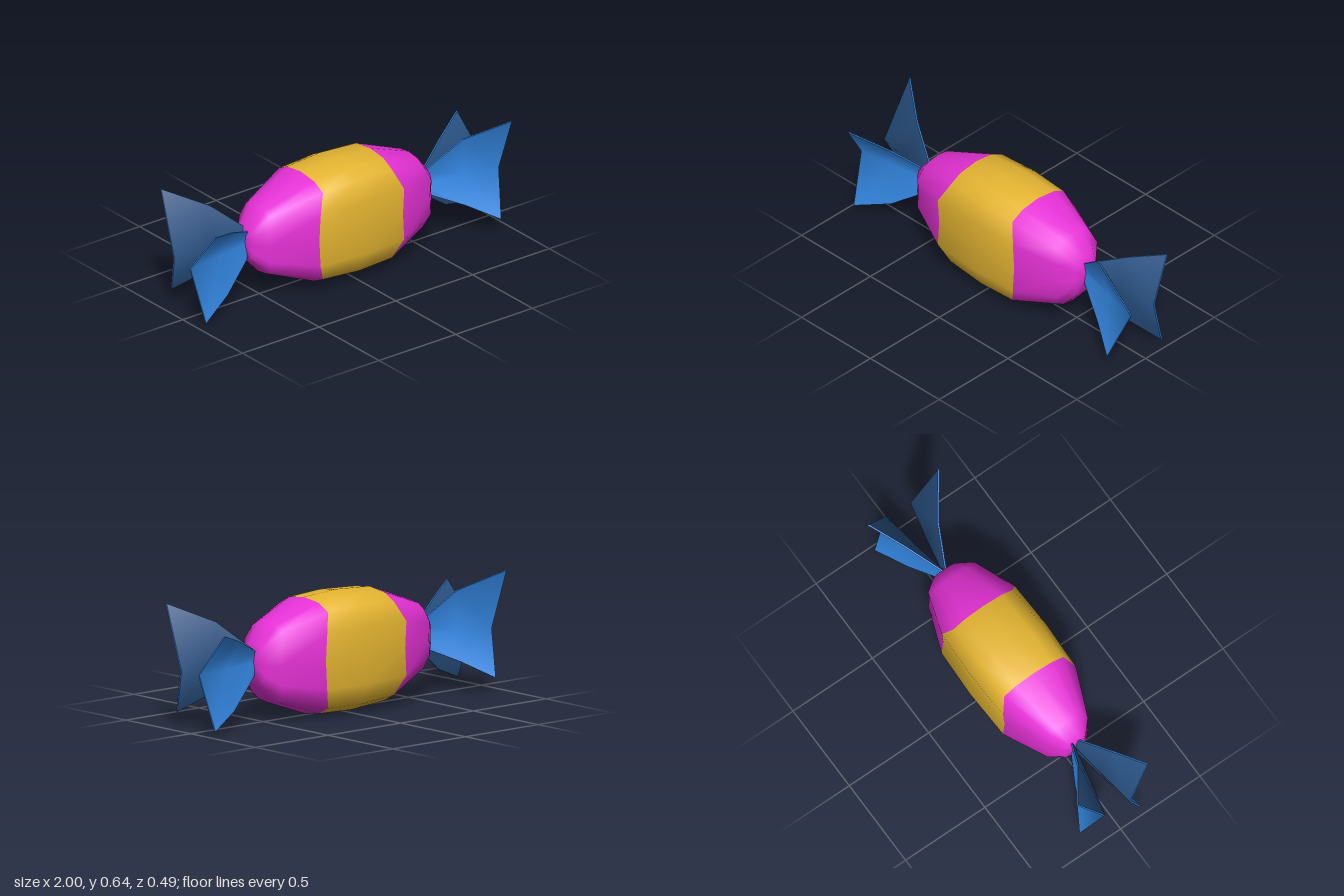
import * as THREE from 'three';

function paint(name, color) {
  const m = new THREE.MeshStandardMaterial({ color });
  m.name = name;
  return m;
}
const magenta = paint('magenta wrapper', 0xe832d8);
const gold = paint('gold band', 0xe6b632);
const blue = paint('blue twist', 0x3589e6);
const navy = paint('navy twist lining', 0x2a5385);

// Quarter of the rounded cross-section as fractions [z, y], top to side
const QUARTER = [[0, 1], [0.5, 0.95], [0.81, 0.825], [1, 0.476], [0.958, 0]];

function sectionLoop() {
  const lower = QUARTER.slice(0, 4).reverse().map(([z, y]) => [z, -y]);
  const half = [...QUARTER, ...lower];
  const back = half.slice(1, -1).reverse().map(([z, y]) => [-z, y]);
  return [...half, ...back];
}

function makeGeometry(pos, index) {
  const g = new THREE.BufferGeometry();
  g.setAttribute('position', new THREE.Float32BufferAttribute(pos, 3));
  g.setIndex(index);
  g.computeVertexNormals();
  return g;
}

// Lofted candy body; the two middle spans form the gold band
function bodyGeometry() {
  // x, centre y, half height, half depth, x shift of the flat sides
  const rings = [
    [-0.595, 0.325, 0.088, 0.07, 0.005],
    [-0.51, 0.325, 0.19, 0.128, -0.02],
    [-0.23, 0.321, 0.299, 0.23, -0.05],
    [0, 0.318, 0.315, 0.239, 0],
    [0.22, 0.315, 0.305, 0.23, 0.045],
    [0.475, 0.313, 0.212, 0.145, 0.03],
    [0.56, 0.312, 0.11, 0.08, 0],
  ];
  const loop = sectionLoop(), n = loop.length;
  const pos = [], index = [];
  for (const [x, cy, hy, hz, shift] of rings)
    for (const [z, y] of loop) {
      const side = Math.abs(z) > 0.9 ? 1 : 0;
      pos.push(x + shift * side, cy + y * hy, z * hz);
    }
  for (let i = 0; i < rings.length - 1; i++)
    for (let j = 0; j < n; j++) {
      const a = i * n + j, c = i * n + (j + 1) % n;
      index.push(a, c, a + n, c, c + n, a + n);
    }
  // End caps
  const left = pos.length / 3, right = left + 1, last = (rings.length - 1) * n;
  pos.push(-0.603, 0.325, 0, 0.575, 0.312, 0);
  for (let j = 0; j < n; j++) {
    const k = (j + 1) % n;
    index.push(left, k, j, right, last + j, last + k);
  }
  const g = makeGeometry(pos, index), span = n * 6;
  g.addGroup(0, span * 2, 0);
  g.addGroup(span * 2, span * 2, 1);
  g.addGroup(span * 4, index.length - span * 4, 0);
  return g;
}

// Thin folded sheet from a 3x3 grid: base, middle and outer columns, each top to bottom.
// outer is the z direction of the blue face; the opposite face is the navy lining.
function fanGeometry(grid, outer) {
  const T = 0.0048, pos = [], index = [];
  const add = ([x, y, z], side) => {
    pos.push(x, y, z + side * T);
    return pos.length / 3 - 1;
  };
  for (const side of [-outer, outer]) {
    const id = grid.map(col => col.map(p => add(p, side)));
    for (let s = 0; s < 2; s++)
      for (let r = 0; r < 2; r++) {
        const a = id[s][r], b = id[s][r + 1], c = id[s + 1][r + 1], d = id[s + 1][r];
        if (side > 0) index.push(a, b, c, a, c, d);
        else index.push(a, c, b, a, d, c);
      }
  }
  const lining = index.length / 2;
  // Rim
  const edge = [[0, 0], [0, 1], [0, 2], [1, 2], [2, 2], [2, 1], [2, 0], [1, 0]].map(([s, r]) => grid[s][r]);
  edge.forEach((p, i) => {
    const q = edge[(i + 1) % edge.length];
    const a = add(p, -1), b = add(q, -1), c = add(q, 1), d = add(p, 1);
    index.push(a, b, c, a, c, d);
  });
  const g = makeGeometry(pos, index);
  g.addGroup(0, lining, 1);
  g.addGroup(lining, index.length - lining, 0);
  return g;
}

export function createModel() {
  const model = new THREE.Group();
  model.name = 'wrappedCandy';

  const body = new THREE.Mesh(bodyGeometry(), [magenta, gold]);
  body.name = 'candyBody';
  model.add(body);

  const tall = fanGeometry([
    [[0.55, 0.375, 0.001], [0.55, 0.32, -0.003], [0.55, 0.27, -0.002]],
    [[0.75, 0.545, 0.092], [0.78, 0.32, 0.042], [0.76, 0.172, 0.105]],
    [[0.955, 0.645, 0.241], [0.987, 0.317, 0.09], [0.92, 0.08, 0.197]],
  ], 1);
  const low = fanGeometry([
    [[0.55, 0.375, -0.001], [0.55, 0.32, 0.001], [0.55, 0.265, 0.002]],
    [[0.76, 0.47, -0.108], [0.78, 0.32, -0.032], [0.77, 0.105, -0.077]],
    [[0.95, 0.535, -0.208], [1.0, 0.317, -0.062], [0.967, 0.03, -0.15]],
  ], -1);

  // Twisted wrapper ends, the second turned half way round
  ['leftTwist', 'rightTwist'].forEach((name, i) => {
    const twist = new THREE.Group();
    twist.name = name;
    const tallFan = new THREE.Mesh(tall, [blue, navy]);
    tallFan.name = 'tallFan';
    const lowFan = new THREE.Mesh(low, [blue, navy]);
    lowFan.name = 'lowFan';
    twist.add(tallFan, lowFan);
    twist.rotation.y = i * Math.PI;
    model.add(twist);
  });
  return model;
}
